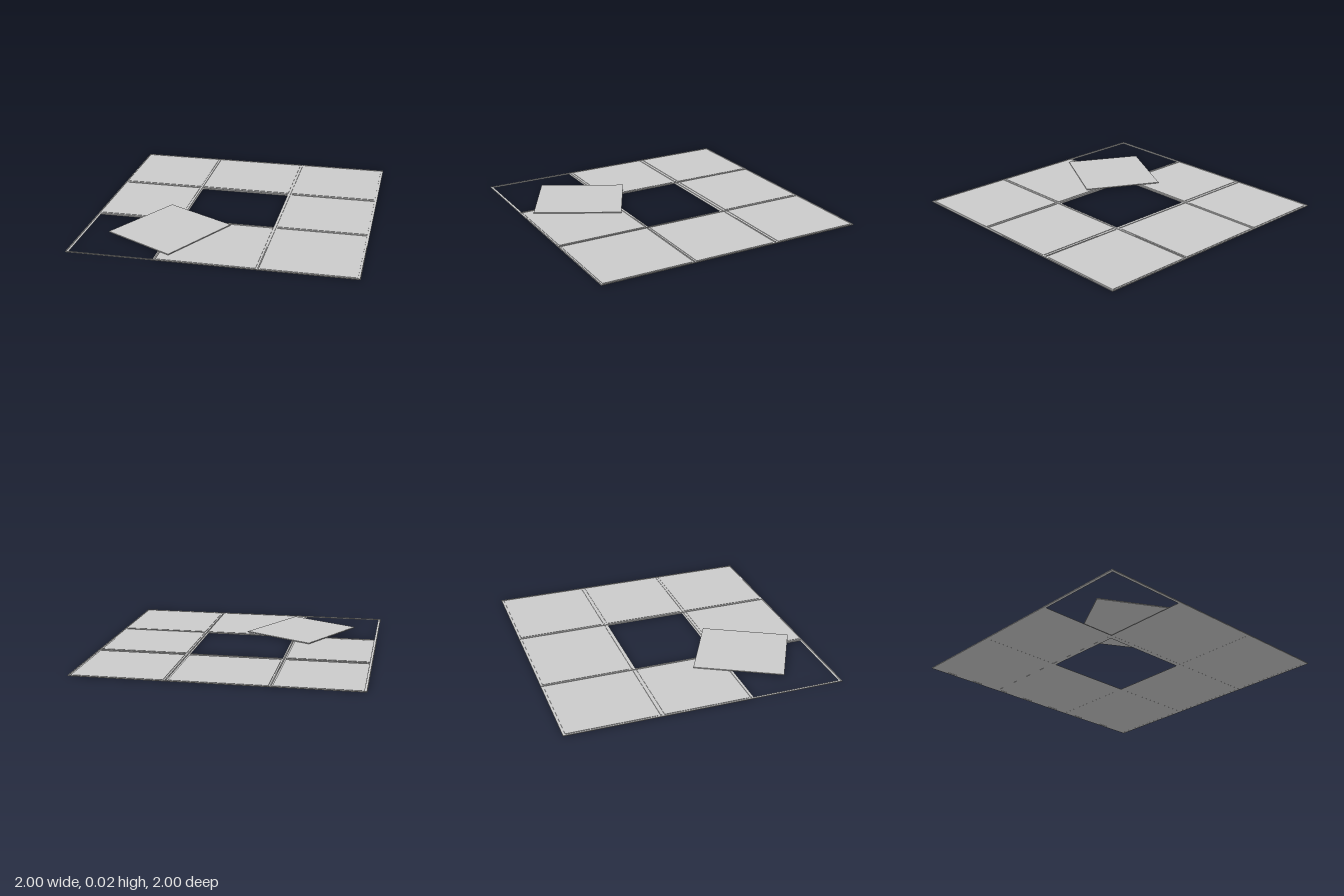
import * as THREE from 'three';

const material = new THREE.MeshStandardMaterial({ color: 0xcccccc, flatShading: true });

// Box given by its extents on each axis
function slab(name, [x0, x1], [y0, y1], [z0, z1]) {
  const mesh = new THREE.Mesh(new THREE.BoxGeometry(x1 - x0, y1 - y0, z1 - z0), material);
  mesh.position.set((x0 + x1) / 2, (y0 + y1) / 2, (z0 + z1) / 2);
  mesh.name = name;
  return mesh;
}

export function createModel() {
  const model = new THREE.Group();
  model.name = 'panelGrid';

  const FLANGE = [0, 0.002];
  const WEB = [0.002, 0.006];
  const TILE = [0.002, 0.005];

  // Openings between the bars, per column and per row
  const columns = [[-0.982, -0.388], [-0.36, 0.312], [0.345, 0.982]];
  const rows = [[-0.982, -0.355], [-0.307, 0.298], [0.334, 0.982]];

  // Perimeter angle: a flat flange with an upright outer lip
  const frame = new THREE.Group();
  frame.name = 'perimeterFrame';
  for (const s of [-1, 1]) {
    const span = (a, b) => [Math.min(s * a, s * b), Math.max(s * a, s * b)];
    frame.add(
      slab('sideFlange', span(0.98, 1), FLANGE, [-1, 1]),
      slab('sideLip', span(0.994, 1), WEB, [-1, 1]),
      slab('endFlange', [-0.98, 0.98], FLANGE, span(0.98, 1)),
      slab('endLip', [-0.994, 0.994], WEB, span(0.994, 1)),
    );
  }
  model.add(frame);

  // Inverted T bars: long runners along z, cross bars along x between them
  const bars = new THREE.Group();
  bars.name = 'teeBars';
  for (let i = 0; i < 2; i++) {
    const x = [columns[i][1], columns[i + 1][0]];
    const xm = (x[0] + x[1]) / 2;
    bars.add(
      slab('runnerFlange', x, FLANGE, [-0.98, 0.98]),
      slab('runnerWeb', [xm - 0.004, xm + 0.004], WEB, [-0.994, 0.994]),
    );
    const z = [rows[i][1], rows[i + 1][0]];
    const zm = (z[0] + z[1]) / 2;
    for (const column of columns) {
      bars.add(
        slab('crossFlange', column, FLANGE, z),
        slab('crossWeb', column, WEB, [zm - 0.004, zm + 0.004]),
      );
    }
  }
  model.add(bars);

  // Seated tiles; the centre and the front right cells stay open
  const tiles = new THREE.Group();
  tiles.name = 'tiles';
  const open = ['1,1', '0,2'];
  columns.forEach((x, i) => rows.forEach((z, j) => {
    if (open.includes(`${i},${j}`)) return;
    tiles.add(slab('tile', x, [0.0005, TILE[1]], z));
  }));
  model.add(tiles);

  // Tile lifted out and lying askew on the grid
  const loose = new THREE.Mesh(new THREE.BoxGeometry(0.58, 0.007, 0.642), material);
  loose.name = 'looseTile';
  loose.position.set(-0.4, 0.0135, 0.5);
  loose.rotation.y = THREE.MathUtils.degToRad(-28.3);
  model.add(loose);

  return model;
}
